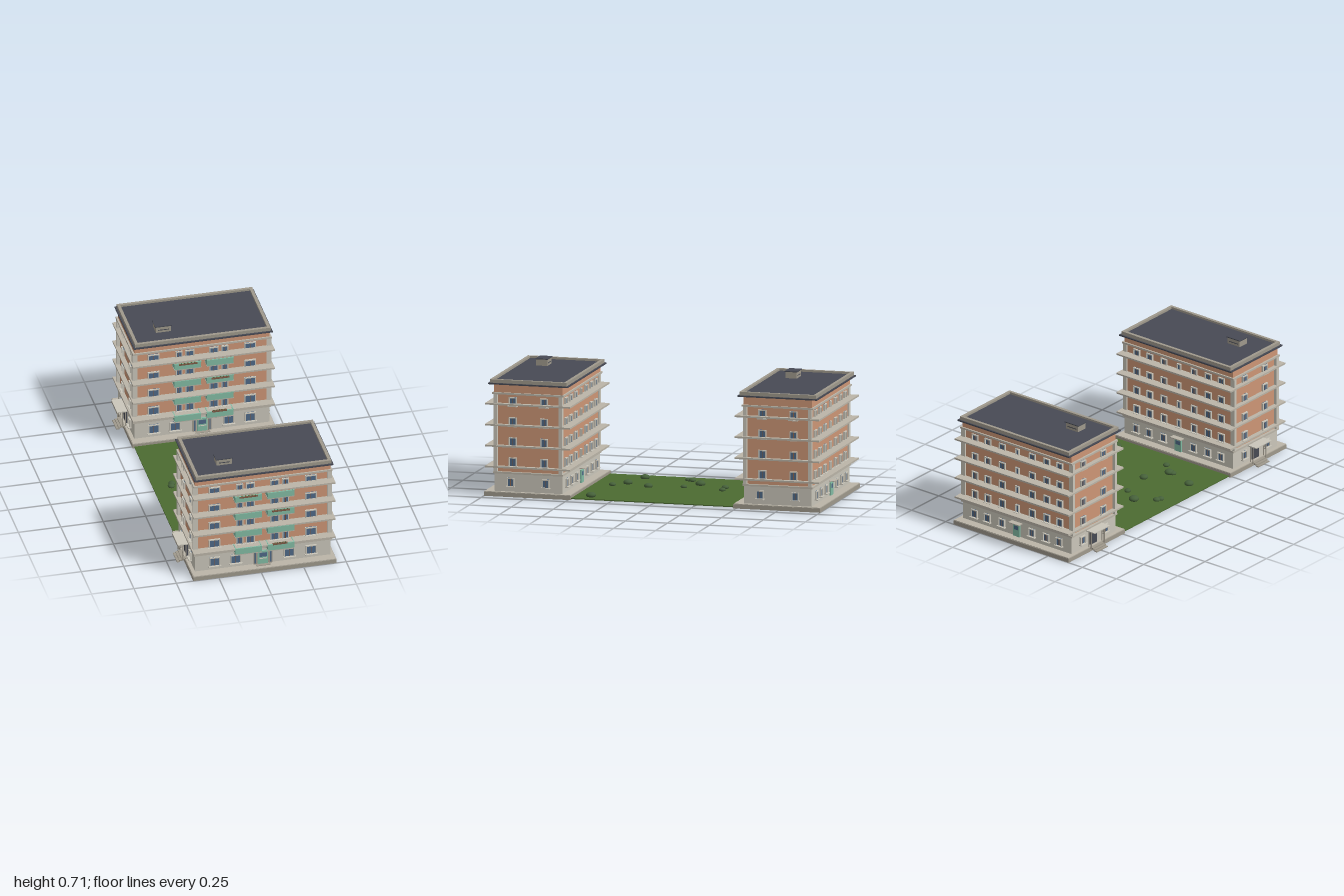
import * as THREE from 'three';

const mat = (name, color) => {
  const m = new THREE.MeshStandardMaterial({ color });
  m.name = name;
  return m;
};
const M = {
  brick: mat('terracotta render', 0xcd9676),
  beige: mat('beige stone', 0xcac6ba),
  trim: mat('ledge stone', 0xbbb5a8),
  taupe: mat('taupe concrete', 0x9f998c),
  roof: mat('roof slate', 0x474a54),
  mint: mat('mint green', 0x82bba4),
  glass: mat('window glass', 0x4f6987),
  brown: mat('brown wood', 0x7d5a45),
  lawn: mat('lawn green', 0x4c6b31),
  bush: mat('bush green', 0x46613a),
};

// Box given by its centre in x and z and its bottom and top in y
function box(parent, name, m, w, d, y0, y1, x = 0, z = 0) {
  const mesh = new THREE.Mesh(new THREE.BoxGeometry(w, y1 - y0, d), m);
  mesh.position.set(x, (y0 + y1) / 2, z);
  mesh.name = name;
  parent.add(mesh);
  return mesh;
}

// Framed window in the plane z = 0, facing +z
function addWindow(parent, x, y, w, h, panes = 2) {
  const g = new THREE.Group();
  g.name = 'window';
  g.position.set(x, y, 0);
  const b = 0.006;
  box(g, 'windowGlass', M.glass, w - b, 0.004, -h / 2, h / 2, 0, 0.002);
  for (const s of [-1, 1]) box(g, 'windowJamb', M.beige, b, 0.014, -h / 2, h / 2, s * (w - b) / 2, 0.004);
  box(g, 'windowHead', M.beige, w, 0.014, h / 2 - b, h / 2, 0, 0.004);
  box(g, 'windowSill', M.beige, w + 0.01, 0.022, -h / 2 - 0.003, -h / 2 + 0.003, 0, 0.008);
  for (let i = 1; i < panes; i++) {
    box(g, 'mullion', M.brown, 0.003, 0.006, -h / 2 + 0.003, h / 2 - b, (i / panes - 0.5) * (w - b), 0.003);
  }
  parent.add(g);
}

// Group lying on one wall: local +z points out of the wall
function wall(parent, name, x, z, angle) {
  const g = new THREE.Group();
  g.name = name;
  g.position.set(x, 0, z);
  g.rotation.y = angle;
  parent.add(g);
  return g;
}

function addBalcony(parent, x, y, w, h, depth) {
  const g = new THREE.Group();
  g.name = 'balcony';
  g.position.set(x, y, 0);
  const t = 0.005;
  box(g, 'balconyFloor', M.trim, w + 0.004, depth, 0, 0.005, 0, depth / 2);
  box(g, 'balconyFront', M.mint, w, t, 0.005, h, 0, depth - t / 2);
  for (const s of [-1, 1]) box(g, 'balconySide', M.mint, t, depth, 0.005, h, s * (w - t) / 2, depth / 2);
  box(g, 'balconyRail', M.mint, w + 0.004, 0.008, h - 0.003, h, 0, depth - t / 2);
  parent.add(g);
}

function addFlowerBox(parent, x, y, z, w) {
  box(parent, 'flowerBox', M.brown, w, 0.012, y, y + 0.008, x, z);
  for (let i = 0; i < 5; i++) {
    const plant = new THREE.Mesh(new THREE.SphereGeometry(0.004, 6, 4), M.bush);
    plant.position.set(x + (i - 2) * w / 5.5, y + 0.009, z);
    plant.name = 'flowers';
    parent.add(plant);
  }
}

function building(name) {
  const b = new THREE.Group();
  b.name = name;

  // Main volumes, from the ground up
  box(b, 'plinth', M.taupe, 0.844, 0.516, 0, 0.024);
  box(b, 'plinthTop', M.trim, 0.838, 0.51, 0.024, 0.028);
  box(b, 'groundFloor', M.beige, 0.796, 0.404, 0.028, 0.131);
  box(b, 'groundCornice', M.trim, 0.812, 0.416, 0.131, 0.142);
  box(b, 'upperWalls', M.brick, 0.78, 0.39, 0.142, 0.592);
  for (const sx of [-1, 1]) for (const sz of [-1, 1]) {
    box(b, 'cornerPillar', M.beige, 0.028, 0.02, 0.142, 0.592, sx * 0.395, sz * 0.193);
  }
  for (let i = 0; i < 4; i++) {
    const y = 0.165 + i * 0.1218;
    box(b, 'floorLedge', M.trim, 0.835, 0.504, y, y + 0.01);
  }
  box(b, 'topCornice', M.trim, 0.818, 0.424, 0.592, 0.603);
  box(b, 'attic', M.brick, 0.796, 0.406, 0.603, 0.648);
  box(b, 'eave', M.roof, 0.818, 0.474, 0.648, 0.656);

  // Parapet around the flat roof
  box(b, 'roofDeck', M.roof, 0.77, 0.43, 0.656, 0.664);
  for (const s of [-1, 1]) {
    box(b, 'parapetLong', M.taupe, 0.798, 0.018, 0.656, 0.676, 0, s * 0.219);
    box(b, 'parapetShort', M.taupe, 0.018, 0.42, 0.656, 0.676, s * 0.39, 0);
  }

  // Roof vent
  box(b, 'vent', M.taupe, 0.09, 0.066, 0.664, 0.701, -0.204, 0.078);
  box(b, 'ventSlot', M.roof, 0.065, 0.068, 0.677, 0.682, -0.204, 0.078);
  box(b, 'ventCap', M.roof, 0.1, 0.074, 0.701, 0.706, -0.204, 0.078);

  const rowY = [0.2, 0.317, 0.434, 0.551];
  const front = wall(b, 'frontWall', 0, 0.195, 0);
  const back = wall(b, 'backWall', 0, -0.195, Math.PI);
  const gables = [-1, 1].map((s) => wall(b, s < 0 ? 'rightGable' : 'leftGable', s * 0.39, 0, s * Math.PI / 2));
  const frontG = wall(b, 'frontGroundWall', 0, 0.202, 0);
  const backG = wall(b, 'backGroundWall', 0, -0.202, Math.PI);
  const gablesG = [-1, 1].map((s) => wall(b, 'gableGroundWall', s * 0.398, 0, s * Math.PI / 2));

  // Upper storeys: windows and balconies
  rowY.forEach((y, i) => {
    for (const [x, w] of [[-0.284, 0.068], [-0.135, 0.04], [-0.072, 0.052], [0.071, 0.054], [0.135, 0.04], [0.284, 0.068]]) {
      addWindow(front, x, y, w, 0.054);
    }
    for (const x of [-0.31, -0.215, -0.11, 0.11, 0.215, 0.31]) addWindow(back, x, y, 0.046, 0.052);
    addWindow(back, 0, y, 0.028, 0.05, 1);
    for (const g of gables) for (const x of [-0.093, 0.093]) addWindow(g, x, y, 0.046, 0.052);
    const by = 0.134 + i * 0.1165;
    for (const x of [-0.0955, 0.096]) addBalcony(front, x, by, 0.155, 0.043, 0.06);
  });
  addFlowerBox(front, -0.095, 0.518, 0.062, 0.108);
  addFlowerBox(front, 0.095, 0.398, 0.062, 0.105);
  addFlowerBox(front, 0.09, 0.176, 0.062, 0.085);

  // Ground floor windows
  for (const x of [-0.284, -0.159, 0.156, 0.284]) addWindow(frontG, x, 0.081, 0.064, 0.058);
  for (const x of [-0.31, -0.215, -0.11, 0.11, 0.215, 0.31]) addWindow(backG, x, 0.081, 0.046, 0.05);
  for (const g of gablesG) for (const x of [-0.105, 0.105]) addWindow(g, x, 0.083, 0.044, 0.05);

  // Front door with side lights, step and lamp
  box(frontG, 'frontDoor', M.mint, 0.06, 0.012, 0.028, 0.115, 0, 0.005);
  box(frontG, 'frontDoorGlass', M.glass, 0.044, 0.004, 0.078, 0.104, 0, 0.011);
  box(frontG, 'doorBar', M.beige, 0.046, 0.006, 0.066, 0.069, 0, 0.013);
  for (const s of [-1, 1]) {
    box(frontG, 'sideLightFrame', M.taupe, 0.02, 0.01, 0.03, 0.112, s * 0.045, 0.004);
    box(frontG, 'sideLightGlass', M.glass, 0.008, 0.004, 0.037, 0.106, s * 0.045, 0.009);
  }
  box(frontG, 'doorStep', M.taupe, 0.085, 0.03, 0.028, 0.031, 0, 0.015);
  box(frontG, 'lampBracket', M.roof, 0.004, 0.014, 0.118, 0.122, 0.081, 0.007);
  const lamp = new THREE.Mesh(new THREE.SphereGeometry(0.006, 10, 8), M.beige);
  lamp.position.set(0.081, 0.113, 0.014);
  lamp.name = 'lamp';
  frontG.add(lamp);

  // Back door with canopy
  box(backG, 'backDoor', M.mint, 0.046, 0.01, 0.028, 0.103, 0, 0.004);
  box(backG, 'backDoorGlass', M.glass, 0.03, 0.004, 0.07, 0.094, 0, 0.008);
  box(backG, 'backCanopy', M.trim, 0.078, 0.034, 0.112, 0.117, 0, 0.017);

  // Side porch with posts and steps
  const porch = new THREE.Group();
  porch.name = 'sidePorch';
  b.add(porch);
  box(porch, 'porchCanopy', M.beige, 0.07, 0.14, 0.127, 0.133, -0.4315, -0.005);
  box(porch, 'porchDoor', M.roof, 0.01, 0.06, 0.028, 0.118, -0.4, -0.005);
  for (const s of [-1, 1]) {
    for (const x of [-0.433, -0.416]) box(porch, 'porchPost', M.taupe, 0.005, 0.005, 0.02, 0.127, x, -0.005 + s * 0.06);
  }
  for (let i = 0; i < 3; i++) {
    box(porch, 'porchStep', M.taupe, 0.018, 0.1, 0.004 + i * 0.007, 0.01 + i * 0.007, -0.4575 + i * 0.014, -0.005);
  }
  return b;
}

export function createModel() {
  const root = new THREE.Group();
  root.name = 'apartmentBlocks';

  for (const s of [-1, 1]) {
    const b = building(s > 0 ? 'frontBuilding' : 'backBuilding');
    b.position.set(0.0215, 0, s * 0.742);
    root.add(b);
  }

  // Courtyard lawn with rounded bushes
  box(root, 'lawn', M.lawn, 0.82, 0.98, 0.004, 0.01, 0.02, 0);
  const bushes = [
    [-0.11, -0.28, 0.021], [-0.03, -0.285, 0.02], [-0.172, -0.115, 0.029], [-0.277, -0.037, 0.021],
    [-0.287, -0.012, 0.02], [-0.07, -0.045, 0.019], [-0.03, 0.155, 0.025], [-0.287, 0.247, 0.027],
    [-0.125, 0.302, 0.02], [-0.102, 0.297, 0.027], [-0.026, 0.367, 0.02], [0.355, 0.387, 0.029],
  ];
  const ball = new THREE.SphereGeometry(1, 14, 10);
  for (const [x, z, r] of bushes) {
    const m = new THREE.Mesh(ball, M.bush);
    m.scale.set(r, r * 0.62, r);
    m.position.set(x, 0.008 + r * 0.4, z);
    m.name = 'bush';
    root.add(m);
  }
  return root;
}
